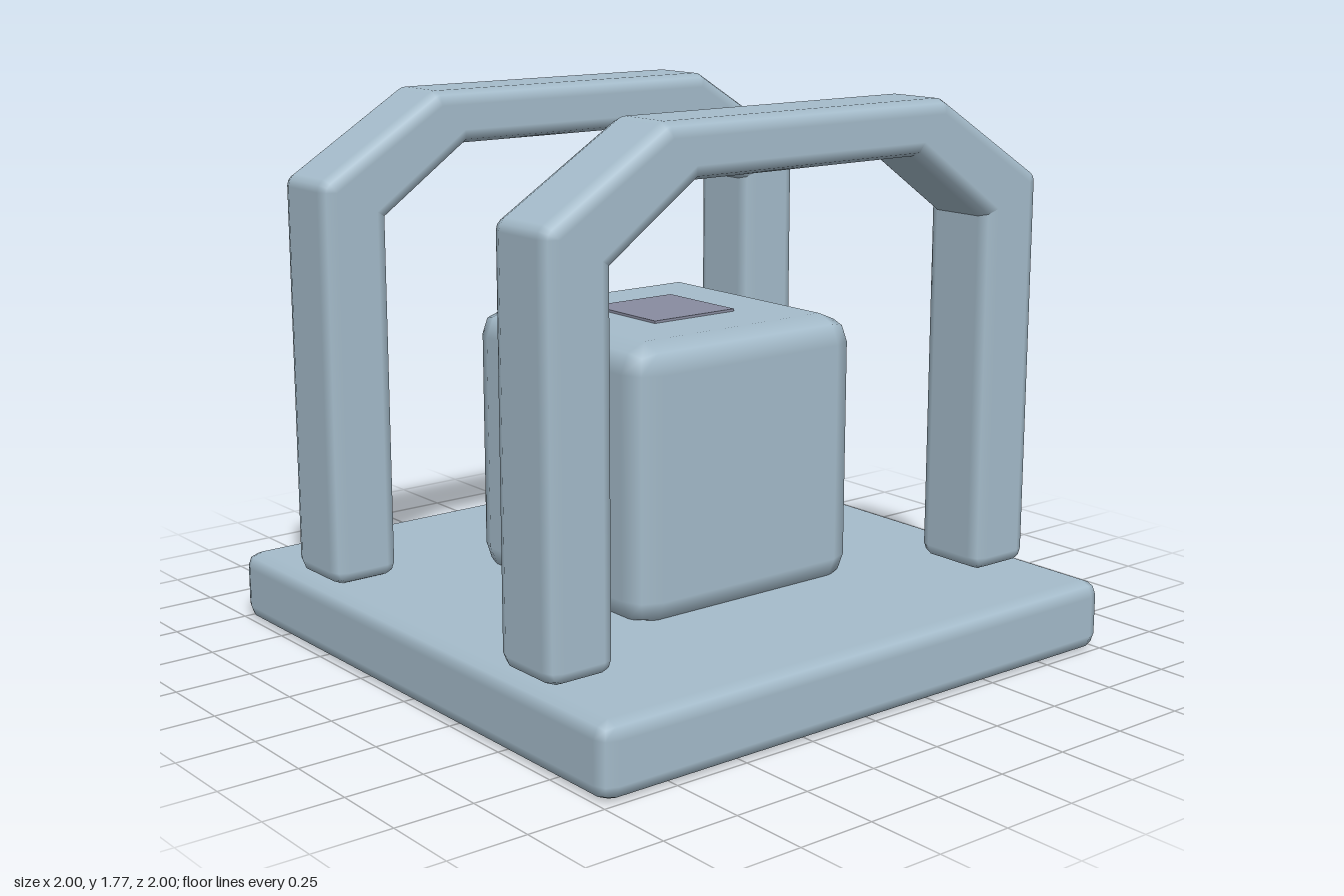
import * as THREE from 'three';
import { RoundedBoxGeometry } from 'three/addons/geometries/RoundedBoxGeometry.js';

// Prism with rounded edges, from a counter-clockwise outline centred on z = 0
function roundedPrism(outline, depth, r) {
  const n = outline.length;
  const pts = outline.map(([x, y]) => new THREE.Vector2(x, y));
  const inset = [], ring = [];
  pts.forEach((p, i) => {
    const d0 = p.clone().sub(pts[(i + n - 1) % n]).normalize();
    const d1 = pts[(i + 1) % n].clone().sub(p).normalize();
    const n0 = new THREE.Vector2(d0.y, -d0.x);
    const n1 = new THREE.Vector2(d1.y, -d1.x);
    const miter = n0.clone().add(n1).divideScalar(1 + n0.dot(n1));
    const base = p.clone().addScaledVector(miter, -r);
    inset.push(base);
    if (d0.cross(d1) > 0) { // outer corner: rounded
      const mid = miter.clone().normalize();
      [n0, mid, n1].forEach((v) => ring.push({ base, off: v, normal: v }));
    } else { // inner corner: sharp
      [n0, n1].forEach((v) => ring.push({ base, off: miter, normal: v }));
    }
  });

  const positions = [], normals = [], index = [];
  const h = depth / 2 - r;
  const layers = [[-1, -90], [-1, -45], [-1, 0], [1, 0], [1, 45], [1, 90]];
  const m = ring.length;
  // Sides and rounded edges
  layers.forEach(([side, deg], j) => {
    const a = THREE.MathUtils.degToRad(deg), c = Math.cos(a), s = Math.sin(a);
    ring.forEach(({ base, off, normal }, i) => {
      positions.push(base.x + off.x * r * c, base.y + off.y * r * c, side * h + r * s);
      normals.push(normal.x * c, normal.y * c, s);
      if (j < layers.length - 1) {
        const k = (i + 1) % m, lo = j * m, hi = lo + m;
        index.push(lo + i, lo + k, hi + k, lo + i, hi + k, hi + i);
      }
    });
  });
  // Flat front and back
  const faces = THREE.ShapeUtils.triangulateShape(inset, []);
  for (const side of [-1, 1]) {
    const start = positions.length / 3;
    inset.forEach((p) => {
      positions.push(p.x, p.y, side * depth / 2);
      normals.push(0, 0, side);
    });
    faces.forEach(([a, b, c]) => {
      if (side > 0) index.push(start + a, start + b, start + c);
      else index.push(start + a, start + c, start + b);
    });
  }

  const g = new THREE.BufferGeometry();
  g.setAttribute('position', new THREE.Float32BufferAttribute(positions, 3));
  g.setAttribute('normal', new THREE.Float32BufferAttribute(normals, 3));
  g.setIndex(index);
  return g;
}

export function createModel() {
  const model = new THREE.Group();
  const shell = new THREE.MeshStandardMaterial({ color: 0xa5bccb });
  shell.name = 'pale blue';
  const accent = new THREE.MeshStandardMaterial({ color: 0x888ca0 });
  accent.name = 'muted violet';

  const add = (name, geometry, material, y, z = 0) => {
    const mesh = new THREE.Mesh(geometry, material);
    mesh.name = name;
    mesh.position.set(0, y, z);
    model.add(mesh);
  };

  // Base slab
  add('base', new RoundedBoxGeometry(2, 0.23, 2, 1, 0.05), shell, 0.115);

  // Central block, sunk slightly into the base
  add('block', new RoundedBoxGeometry(0.88, 0.88, 0.88, 1, 0.09), shell, 0.64);

  // Thin square plate on the block
  add('topPlate', new THREE.BoxGeometry(0.32, 0.009, 0.32), accent, 1.0835);

  // Pair of chamfered arches, front and back
  const rightHalf = [[0.73, 0.23], [0.96, 0.23], [0.96, 1.51], [0.54, 1.77]];
  const innerHalf = [[0.43, 1.6], [0.73, 1.39]];
  const mirror = (list) => list.map(([x, y]) => [-x, y]).reverse();
  const outline = [...rightHalf, ...mirror(rightHalf), ...mirror(innerHalf), ...innerHalf];
  const arch = roundedPrism(outline, 0.265, 0.045);
  add('frontArch', arch, shell, 0, 0.575);
  add('backArch', arch, shell, 0, -0.575);

  return model;
}
